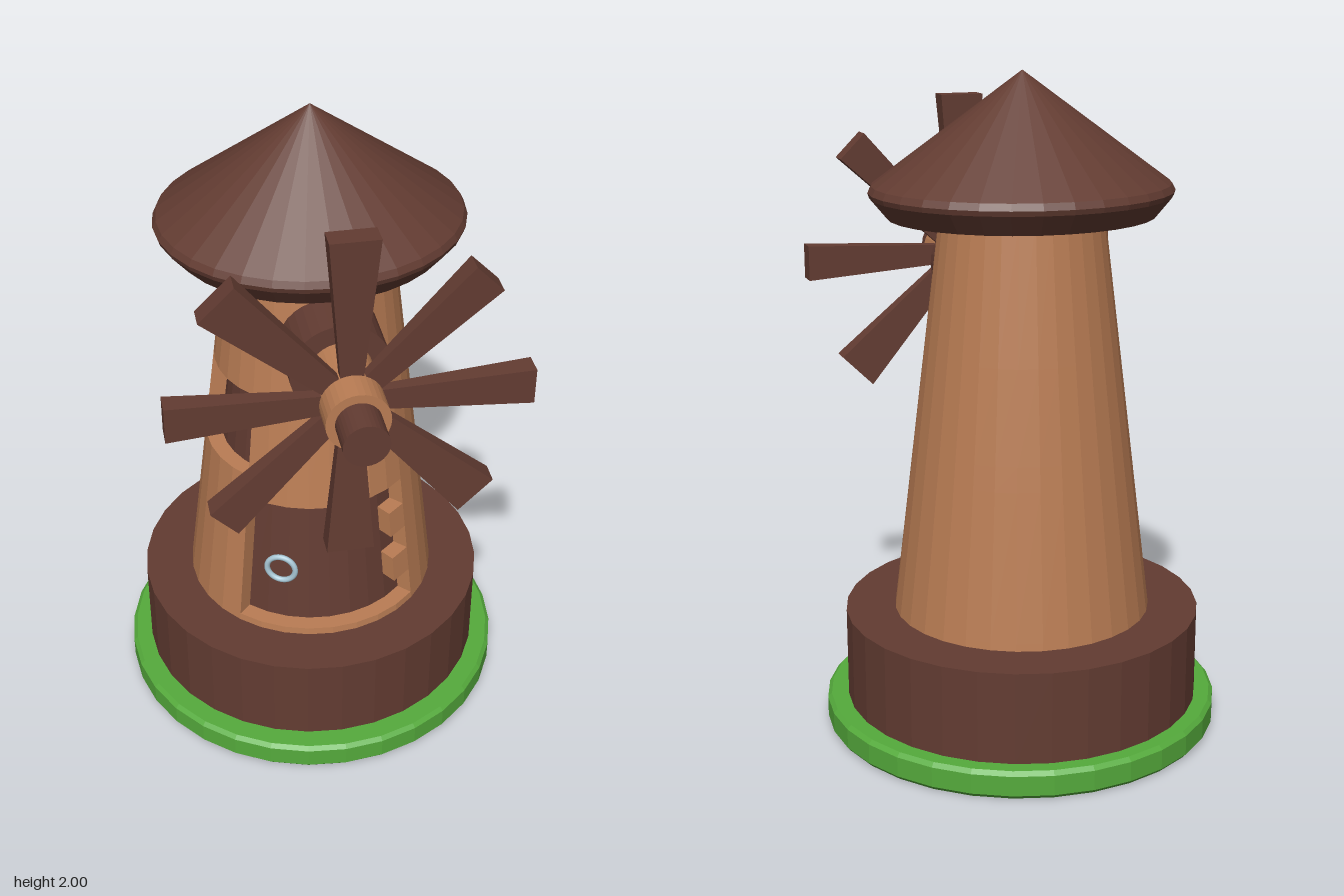
import * as THREE from 'three';

const SEG = 32;            // sides of every round part
const AXIS_Z = -0.075;     // tower axis
const mat = (color) => new THREE.MeshStandardMaterial({ color, flatShading: true });

// Tower wall radius at a given height
const wallRadius = (y) => THREE.MathUtils.mapLinear(y, 0.365, 1.58, 0.395, 0.245);

// Curved block of the tapered wall between side numbers i0..i1 and heights y0..y1,
// set in from the wall surface: a box bent around the tower axis
function wallBlock(i0, i1, y0, y1, inset = 0, depth = 0.07) {
  const geo = new THREE.BoxGeometry(1, 1, 1, i1 - i0, 1, 1);
  const p = geo.attributes.position;
  for (let i = 0; i < p.count; i++) {
    const a = ((i0 + (p.getX(i) + 0.5) * (i1 - i0)) / SEG) * Math.PI * 2;
    const y = y0 + (p.getY(i) + 0.5) * (y1 - y0);
    const r = wallRadius(y) - inset - (0.5 - p.getZ(i)) * depth;
    p.setXYZ(i, r * Math.sin(a), y, r * Math.cos(a));
  }
  geo.computeVertexNormals();
  return geo;
}

const lathe = (points) =>
  new THREE.LatheGeometry(points.map(([x, y]) => new THREE.Vector2(x, y)), SEG);

// Blade that widens and thickens from the hub to the tip, pointing up
function bladeGeometry(tipHalfWidth) {
  const inner = 0.05, outer = 0.512;
  const geo = new THREE.BoxGeometry(2, 1, 2);
  const p = geo.attributes.position;
  for (let i = 0; i < p.count; i++) {
    const t = p.getY(i) + 0.5;
    p.setXYZ(i,
      p.getX(i) * THREE.MathUtils.lerp(0.03, tipHalfWidth, t),
      THREE.MathUtils.lerp(inner, outer, t),
      p.getZ(i) * THREE.MathUtils.lerp(0.014, 0.032, t));
  }
  geo.computeVertexNormals();
  return geo;
}

export function createModel() {
  const model = new THREE.Group();
  model.name = 'windmill';
  const brown = mat(0x633c32), tan = mat(0xba7d54), green = mat(0x55ab3c);
  const steel = new THREE.MeshStandardMaterial({ color: 0xa9c8d6 });

  const add = (parent, name, geo, material) => {
    const mesh = new THREE.Mesh(geo, material);
    mesh.name = name;
    parent.add(mesh);
    return mesh;
  };

  // Everything centred on the tower axis
  const tower = new THREE.Group();
  tower.name = 'tower';
  tower.position.z = AXIS_Z;
  model.add(tower);

  const grass = add(tower, 'grass', lathe([
    [0, 0], [0.6, 0], [0.61, 0.012], [0.61, 0.073], [0.598, 0.085], [0, 0.085],
  ]), green);
  grass.position.z = 0.01;
  const base = add(tower, 'base', new THREE.CylinderGeometry(0.547, 0.547, 0.285, SEG), brown);
  base.position.y = 0.2225;

  // Walls in bands, leaving openings for the door and the side window
  const walls = [
    [0, SEG, 0.36, 0.387],
    [4, SEG - 4, 0.387, 0.83],   // beside the door
    [0, SEG, 0.83, 0.905],
    [-4, SEG - 9, 0.905, 1.185], // beside the window
    [0, SEG, 1.185, 1.6],
  ];
  for (const w of walls) add(tower, 'wall', wallBlock(...w), tan);

  // Recessed door with two hinges, and recessed window pane
  add(tower, 'door', wallBlock(-4, 4, 0.38, 0.84, 0.05, 0.02), brown);
  for (const y of [0.48, 0.65]) add(tower, 'hinge', wallBlock(3, 4, y, y + 0.087), tan);
  add(tower, 'windowPane', wallBlock(-9, -4, 0.895, 1.195, 0.05, 0.02), brown);

  const handle = add(tower, 'doorHandle', new THREE.TorusGeometry(0.045, 0.009, 10, 32), steel);
  handle.position.set(-0.152, 0.6, 0.325);
  handle.rotation.y = -0.44;

  // Roof, a little narrower from front to back
  const roof = add(tower, 'roof', lathe([
    [0, 1.58], [0.4, 1.58], [0.45, 1.64], [0.455, 1.655], [0.445, 1.675], [0, 2],
  ]), brown);
  roof.scale.z = 0.91;

  // Shaft and sails
  const sails = new THREE.Group();
  sails.name = 'sails';
  sails.position.set(0.013, 1.377, 0);
  model.add(sails);

  const shaftParts = [
    ['shaftHousing', 0.146, 0.0, 0.325, brown],
    ['hub', 0.091, 0.3, 0.575, tan],
    ['hubCap', 0.065, 0.56, 0.68, brown],
  ];
  for (const [name, r, z0, z1, material] of shaftParts) {
    const geo = new THREE.CylinderGeometry(r, r, z1 - z0, SEG).rotateX(Math.PI / 2);
    add(sails, name, geo, material).position.z = (z0 + z1) / 2;
  }

  // Eight blades, in alternating pairs of wide and narrow
  const wide = bladeGeometry(0.069), narrow = bladeGeometry(0.055);
  for (let i = 0; i < 8; i++) {
    const blade = add(sails, 'blade', i % 4 < 2 ? wide : narrow, brown);
    blade.position.z = 0.467;
    blade.rotation.z = (i * Math.PI) / 4;
  }

  return model;
}
